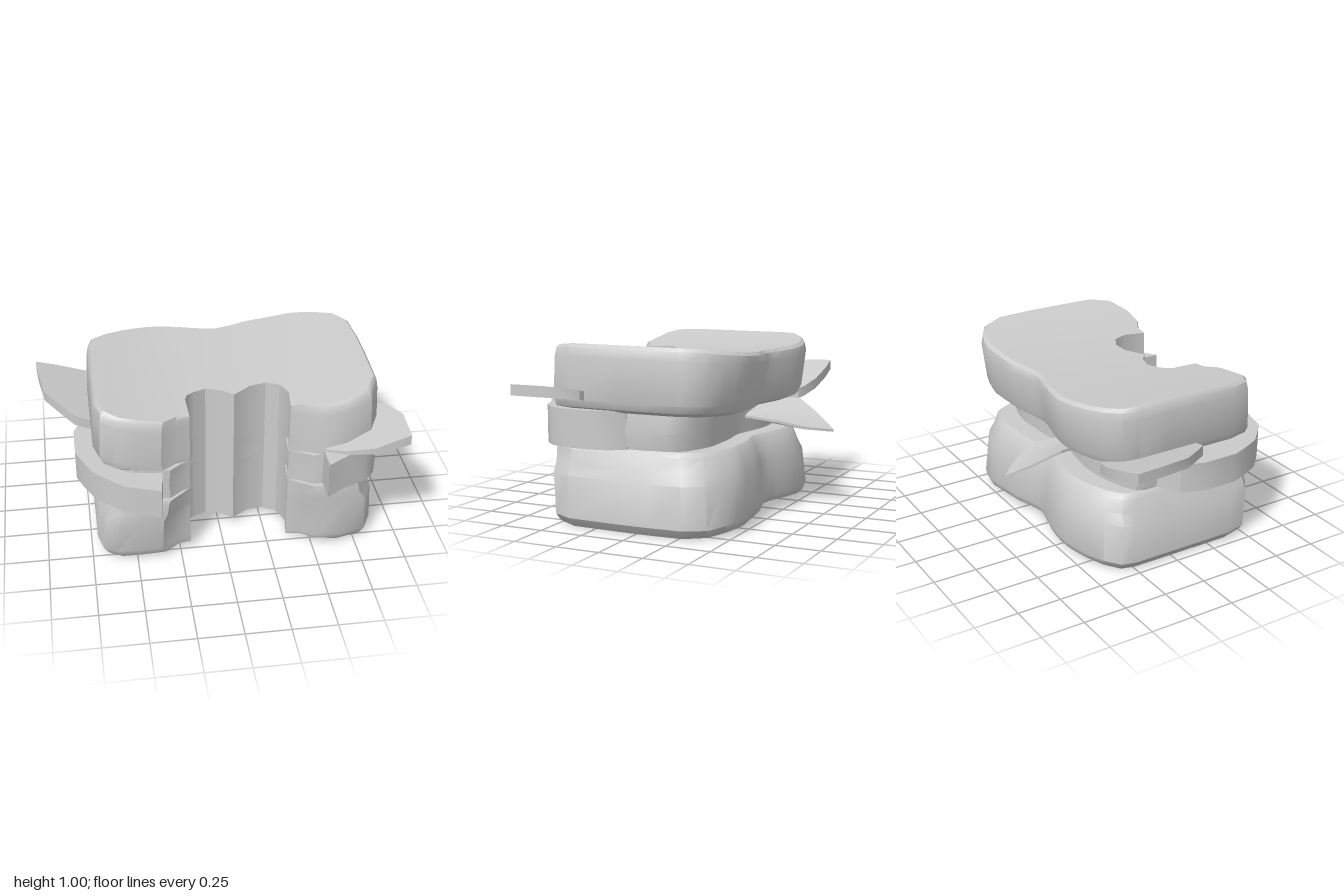
import * as THREE from 'three';
import { toCreasedNormals } from 'three/addons/utils/BufferGeometryUtils.js';

const material = new THREE.MeshStandardMaterial({ color: 0xcccccc });

// Slice outline in columns from left to right: front x, front z, back x, back z
const columns = [
  [-0.70, 0.05, -0.70, -0.05], [-0.70, 0.38, -0.70, -0.25], [-0.67, 0.50, -0.68, -0.33],
  [-0.60, 0.55, -0.60, -0.40], [-0.48, 0.565, -0.50, -0.45], [-0.35, 0.57, -0.42, -0.475],
  [-0.27, 0.51, -0.35, -0.49], [-0.19, 0.49, -0.28, -0.495], [-0.22, 0.40, -0.22, -0.49],
  [-0.18, 0.29, -0.16, -0.48], [-0.14, 0.26, -0.10, -0.465], [-0.07, 0.23, -0.04, -0.45],
  [0.02, 0.26, 0.02, -0.435], [0.08, 0.31, 0.08, -0.43], [0.18, 0.24, 0.17, -0.45],
  [0.27, 0.23, 0.27, -0.48], [0.34, 0.27, 0.36, -0.49], [0.38, 0.37, 0.42, -0.495],
  [0.36, 0.49, 0.48, -0.50], [0.45, 0.51, 0.55, -0.505], [0.53, 0.56, 0.62, -0.49],
  [0.66, 0.57, 0.70, -0.46], [0.80, 0.52, 0.80, -0.40], [0.86, 0.40, 0.86, -0.28],
  [0.87, 0.08, 0.87, -0.08],
];
const N = columns.length;
const BITE_START = 7, BITE_END = 18;
const CENTRE_X = 0.08;

// Sagging of the slices: the middle dips at the top and lifts at the bottom
function bend(x, h, z) {
  const flat = 1 - Math.min(1, ((x - CENTRE_X) / 0.75) ** 2);
  const low = 0.045 * flat;
  const high = -flat * (0.075 + 0.05 * z) + 0.025 * (x - 0.86);
  return h + low * (1 - h) + high * h;
}

// Closed loft; each level is [height, x scale, front z scale, back z scale]
function layer(name, levels, crease = 0.6) {
  const positions = [], index = [];
  const ring = 2 * N;
  for (const [h, sx, front, back] of levels) {
    for (let k = 0; k < ring; k++) {
      const isFront = k < N;
      const i = isFront ? k : ring - 1 - k;
      let x = columns[i][isFront ? 0 : 2];
      let z = columns[i][isFront ? 1 : 3];
      // The bitten wall runs straight through every layer
      if (!(isFront && i >= BITE_START && i <= BITE_END)) {
        x = CENTRE_X + (x - CENTRE_X) * sx;
        z *= isFront ? front : back;
      }
      positions.push(x, bend(x, h, z), z);
    }
  }
  for (let l = 0; l < levels.length - 1; l++) {
    for (let k = 0; k < ring; k++) {
      const a = l * ring + k, b = l * ring + (k + 1) % ring;
      index.push(a, b, b + ring, a, b + ring, a + ring);
    }
  }
  const top = (levels.length - 1) * ring;
  for (let i = 0; i < N - 1; i++) {
    const f = i, g = i + 1, b = ring - 1 - i, c = ring - 2 - i;
    index.push(f, c, g, f, b, c);
    index.push(top + f, top + g, top + c, top + f, top + c, top + b);
  }
  const geometry = new THREE.BufferGeometry();
  geometry.setAttribute('position', new THREE.Float32BufferAttribute(positions, 3));
  geometry.setIndex(index);
  const mesh = new THREE.Mesh(toCreasedNormals(geometry, crease), material);
  mesh.name = name;
  return mesh;
}

// Flat piece cut from an x/z outline, with its underside and thickness set by rules
function sheet(name, outline, bottom, thickness) {
  const shape = new THREE.Shape(outline.map(([x, z]) => new THREE.Vector2(x, -z)));
  const geometry = new THREE.ExtrudeGeometry(shape, { depth: 1, bevelEnabled: false });
  geometry.rotateX(-Math.PI / 2);
  const p = geometry.attributes.position;
  for (let i = 0; i < p.count; i++) {
    const x = p.getX(i), z = p.getZ(i);
    p.setY(i, bottom(x, z) + p.getY(i) * thickness(x, z));
  }
  const mesh = new THREE.Mesh(toCreasedNormals(geometry, 0.6), material);
  mesh.name = name;
  return mesh;
}

export function createModel() {
  const model = new THREE.Group();
  model.name = 'bittenSandwich';

  // Bread slices with rounded rims, and the recessed filling between them
  model.add(layer('bottomBread', [
    [0.00, 0.975, 0.97, 0.96], [0.015, 0.99, 0.985, 0.98], [0.05, 1.02, 1.0, 1.0],
    [0.28, 1.0, 1.04, 0.95], [0.34, 0.95, 1.045, 0.91], [0.42, 0.93, 1.05, 0.85],
    [0.445, 0.90, 1.04, 0.80],
  ]));
  model.add(layer('filling', [[0.43, 0.90, 1.0, 0.57], [0.54, 0.92, 1.0, 0.57], [0.66, 0.90, 1.0, 0.57]]));
  model.add(layer('topBread', [
    [0.64, 0.93, 0.97, 0.80], [0.66, 0.99, 1.0, 0.89], [0.70, 1.015, 1.005, 0.92],
    [0.93, 1.0, 1.0, 0.99], [0.98, 0.99, 0.985, 0.97], [1.0, 0.97, 0.965, 0.93],
  ]));

  // Thick slices sticking out at the two front corners
  model.add(sheet('rightHamSlice', [
    [-0.37, 0.74], [-0.46, 0.71], [-0.56, 0.68], [-0.64, 0.61], [-0.72, 0.53], [-0.77, 0.43],
    [-0.81, 0.33], [-0.81, 0.12], [-0.76, 0.0], [-0.60, -0.08], [-0.35, 0.1], [-0.35, 0.57],
  ], (x) => 0.42 - 0.03 * (x + 0.37), () => 0.17));
  model.add(sheet('leftHamSlice', [
    [0.54, 0.71], [0.54, 0.10], [0.80, 0.08], [0.86, 0.16], [0.88, 0.27], [0.875, 0.42],
    [0.84, 0.52], [0.77, 0.59], [0.66, 0.635],
  ], () => 0.44, () => 0.21));

  // Lettuce leaves rising at the sides and drooping at the back
  model.add(sheet('rightLeaf', [
    [-0.55, -0.38], [-0.60, -0.405], [-0.71, -0.435], [-0.88, -0.44], [-1.0, -0.43], [-0.99, -0.30],
    [-0.96, -0.10], [-0.88, 0.01], [-0.80, 0.11], [-0.70, 0.13], [-0.50, 0.10],
  ], (x) => 0.60 + 0.3 * (-x - 0.65), () => 0.06));
  model.add(sheet('leftLeaf', [
    [0.55, 0.30], [0.85, 0.29], [0.91, 0.30], [0.95, 0.34], [1.0, 0.47], [0.99, 0.68],
    [0.79, 0.70], [0.65, 0.65], [0.55, 0.58],
  ], (x) => 0.65 + 0.16 * (x - 0.55), (x) => 0.012 + 0.11 * (x - 0.55)));
  model.add(sheet('backLeaf', [
    [-0.25, -0.26], [-0.30, -0.48], [-0.24, -0.61], [-0.145, -0.75], [-0.03, -0.62],
    [0.04, -0.47], [0.0, -0.26],
  ], (x, z) => 0.45 + 0.4 * Math.min(0.27, z + 0.75) - 0.26 * (x + 0.145), () => 0.015));

  return model;
}
